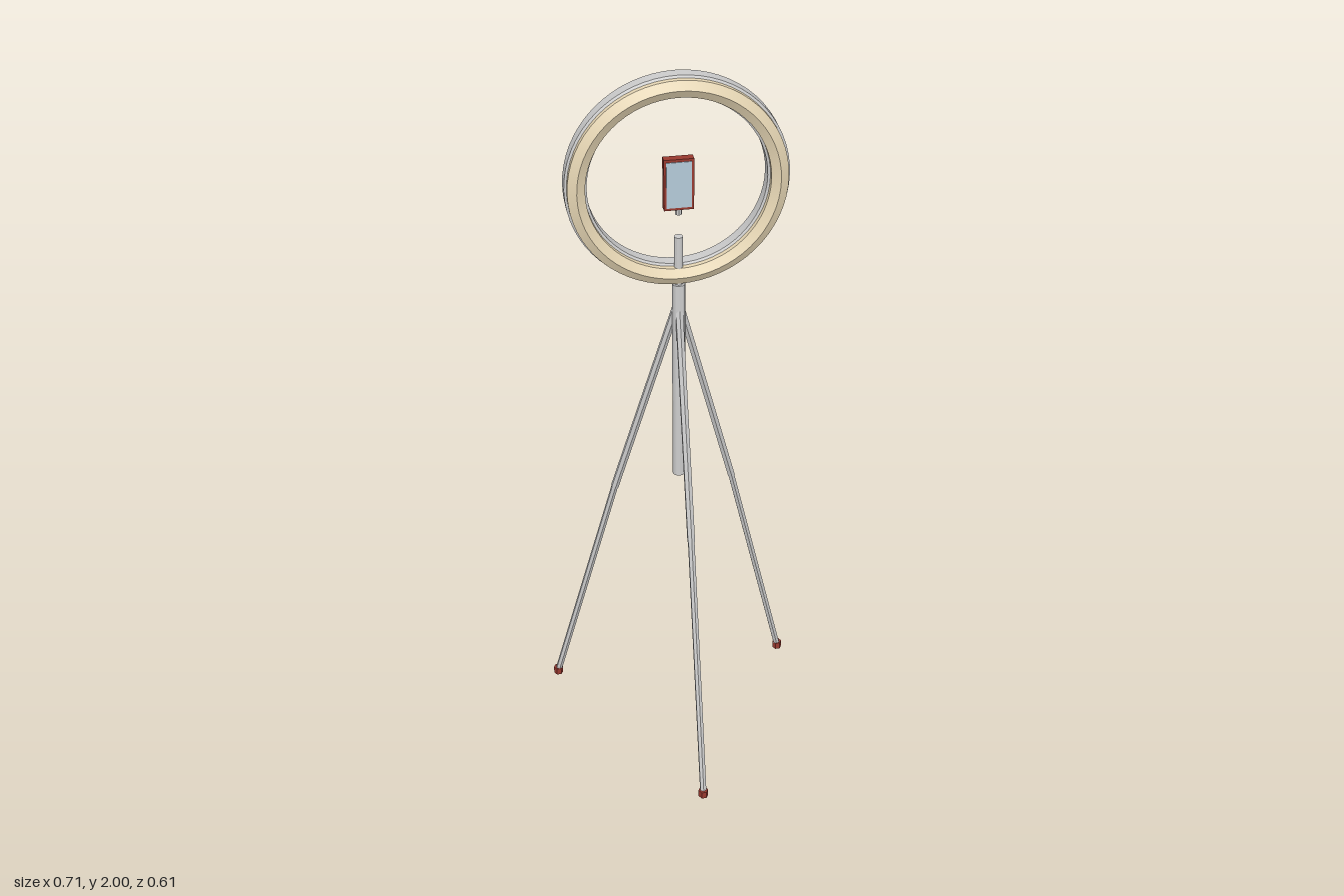
import * as THREE from 'three';
import { toCreasedNormals } from 'three/addons/utils/BufferGeometryUtils.js';

const paint = (color, extra = {}) => new THREE.MeshStandardMaterial({ color, ...extra });
const grey = paint(0xcccccc);
const greyFlat = paint(0xcccccc, { flatShading: true });
const cream = paint(0xe6d6b4);
const red = paint(0x98392f, { flatShading: true });
const blue = paint(0xb4cad9);

const AXIS_Z = -0.097; // z of the centre column

export function createModel() {
  const model = new THREE.Group();
  model.name = 'ringLightOnTripod';

  const add = (name, geometry, material, x = 0, y = 0, z = 0) => {
    const mesh = new THREE.Mesh(geometry, material);
    mesh.name = name;
    mesh.position.set(x, y, z);
    model.add(mesh);
    return mesh;
  };

  // Upright cylinder on the column axis, from y0 to y1
  const post = (name, r, y0, y1, sides = 12) =>
    add(name, toCreasedNormals(new THREE.CylinderGeometry(r, r, y1 - y0, sides), 0.7), grey, 0, (y0 + y1) / 2, AXIS_Z);

  // Straight hexagonal rod between two points
  const rod = (name, a, b, r) => {
    const dir = b.clone().sub(a);
    const mesh = add(name, new THREE.CylinderGeometry(r, r, dir.length(), 6), greyFlat);
    mesh.position.copy(a).add(b).multiplyScalar(0.5);
    mesh.quaternion.setFromUnitVectors(new THREE.Vector3(0, 1, 0), dir.normalize());
    return mesh;
  };

  // Ring with a hexagonal section, facing the front
  const hexRing = (name, tube, z, material) => {
    const section = [];
    for (let i = 0; i <= 6; i++) {
      const a = -Math.PI / 6 + (i * Math.PI) / 3;
      section.push(new THREE.Vector2(0.255 + tube * Math.cos(a), tube * Math.sin(a)));
    }
    const geometry = new THREE.LatheGeometry(section, 64).rotateX(Math.PI / 2);
    add(name, toCreasedNormals(geometry, 0.5), material, 0, 1.718, z);
  };
  hexRing('ringHousing', 0.0325, -0.1205, grey);
  hexRing('ringDiffuser', 0.0255, -0.0993, cream);

  // Centre column and the thinner neck above it
  post('centreColumn', 0.0175, 0.845, 1.437);
  post('neck', 0.0115, 1.43, 1.572);

  // Phone with its holder pin
  post('phonePin', 0.009, 1.635, 1.665, 8);
  add('phoneCase', new THREE.BoxGeometry(0.076, 0.138, 0.022), red, 0, 1.72, AXIS_Z);
  add('phoneScreen', new THREE.BoxGeometry(0.064, 0.124, 0.004), blue, 0, 1.72, AXIS_Z + 0.011);

  // Three legs, each with a slight bend at the knee and a rubber foot
  ['frontLeg', 'leftLeg', 'rightLeg'].forEach((name, i) => {
    const angle = [0, 1, -1][i] * (Math.PI * 2) / 3;
    const at = (r, y) => new THREE.Vector3(r * Math.sin(angle), y, AXIS_Z + r * Math.cos(angle));
    const knee = at(0.191, 0.75);
    rod(name + 'Upper', at(0.008, 1.36), knee, 0.011);
    rod(name + 'Lower', knee, at(0.391, 0.014), 0.0095);
    const foot = at(0.392, 0.011);
    add(name + 'Foot', new THREE.CylinderGeometry(0.0135, 0.0135, 0.022, 6).rotateY(Math.PI / 2), red, foot.x, foot.y, foot.z);
  });

  return model;
}
